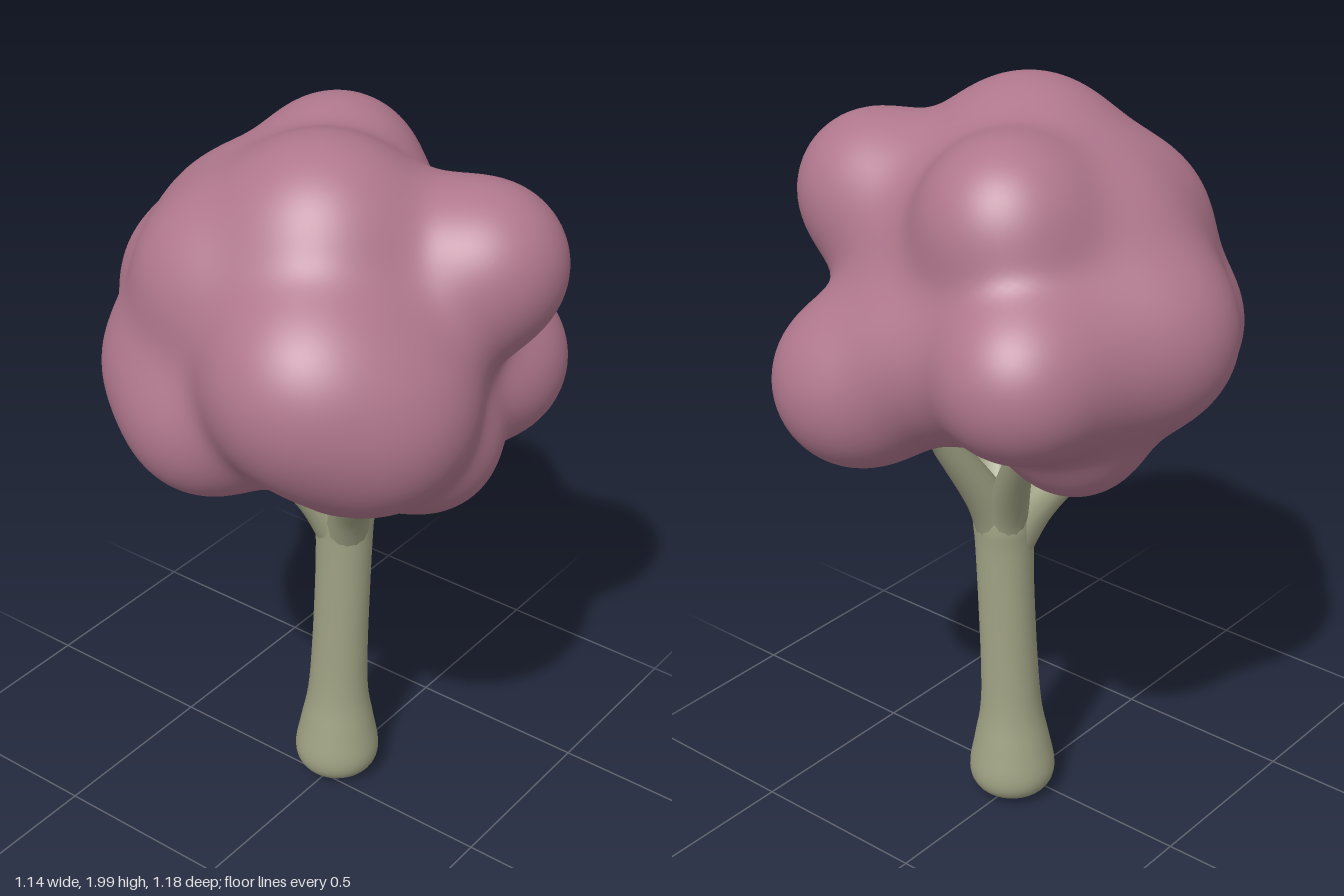
import * as THREE from 'three';
import { mergeVertices } from 'three/addons/utils/BufferGeometryUtils.js';

const leafMat = new THREE.MeshStandardMaterial({ color: 0xb0778d });
const barkMat = new THREE.MeshStandardMaterial({ color: 0xa0a284 });

// Leaf clumps: x, y, z, radius
const CLUMPS = [
  [0, 1.5, 0, 0.38], // core
  [-0.10, 1.74, 0.07, 0.25], // top
  [0.21, 1.74, -0.12, 0.21],
  [0.11, 1.69, 0.39, 0.195], // front
  [0.08, 1.62, 0.26, 0.21],
  [0.04, 1.21, 0.28, 0.187],
  [-0.21, 1.42, 0.30, 0.25],
  [-0.31, 1.50, 0.20, 0.254], // left
  [-0.30, 1.30, -0.12, 0.205],
  [-0.16, 1.24, 0.18, 0.15],
  [-0.21, 1.62, -0.13, 0.22],
  [0.35, 1.29, 0.24, 0.218], // right
  [0.30, 1.40, 0.08, 0.19],
  [0.28, 1.42, -0.06, 0.185],
  [0.36, 1.45, -0.28, 0.198],
  [0.00, 1.46, -0.36, 0.23], // back
  [0.18, 1.45, -0.30, 0.20],
  [-0.24, 1.38, -0.24, 0.205],
  [-0.02, 1.63, -0.20, 0.225],
  [0.10, 1.22, -0.24, 0.175],
].map(([x, y, z, r]) => ({ c: new THREE.Vector3(x, y, z), r }));

// Signed distance to the softly blended clumps
function leafDistance(p) {
  const k = 0.045;
  let sum = 0;
  for (const { c, r } of CLUMPS) sum += Math.exp(-(p.distanceTo(c) - r) / k);
  return -k * Math.log(sum);
}

// Canopy: a sphere whose vertices are drawn in to the blended surface
function makeCanopy() {
  let geo = new THREE.IcosahedronGeometry(1, 32);
  geo.deleteAttribute('uv');
  geo.deleteAttribute('normal');
  geo = mergeVertices(geo, 1e-4);
  const centre = new THREE.Vector3(0, 1.5, 0);
  const pos = geo.attributes.position;
  const dir = new THREE.Vector3(), p = new THREE.Vector3();
  for (let i = 0; i < pos.count; i++) {
    dir.fromBufferAttribute(pos, i).normalize();
    let t = 0.95;
    for (let n = 0; n < 60; n++) {
      const d = leafDistance(p.copy(centre).addScaledVector(dir, t));
      if (Math.abs(d) < 1e-4) break;
      t -= d * 0.9;
    }
    pos.setXYZ(i, p.x, p.y, p.z);
  }
  geo.computeVertexNormals();
  return new THREE.Mesh(geo, leafMat);
}

// Trunk: turned profile with a swollen foot, leaning slightly to +x
function makeTrunk() {
  const profile = new THREE.SplineCurve([
    [0.001, 0.006], [0.06, 0.014], [0.102, 0.04], [0.117, 0.09], [0.102, 0.18],
    [0.084, 0.28], [0.077, 0.42], [0.075, 0.65], [0.077, 0.8], [0.081, 0.87],
    [0.072, 0.925], [0.04, 0.95], [0.001, 0.955],
  ].map(([x, y]) => new THREE.Vector2(x, y)));
  const geo = new THREE.LatheGeometry(profile.getPoints(60), 32);
  const pos = geo.attributes.position;
  for (let i = 0; i < pos.count; i++) {
    const y = pos.getY(i);
    pos.setX(i, pos.getX(i) + 0.057 + 0.03 * THREE.MathUtils.smoothstep(y, 0.1, 0.9));
  }
  return new THREE.Mesh(geo, barkMat);
}

// Branch: a tapering tube with a rounded end, growing smoothly out of the trunk
function makeBranch(end) {
  const start = new THREE.Vector3(0.086, 0.78, 0);
  const tip = new THREE.Vector3(...end);
  const mid = start.clone().lerp(tip, 0.22).setY(0.92);
  const path = new THREE.CatmullRomCurve3([start, mid, tip]);
  const rings = 24, sides = 16;
  const geo = new THREE.TubeGeometry(path, rings, 1, sides);
  const pos = geo.attributes.position;
  const c = new THREE.Vector3(), p = new THREE.Vector3();
  for (let i = 0; i < pos.count; i++) {
    const t = Math.floor(i / (sides + 1)) / rings;
    path.getPointAt(t, c);
    const cap = Math.sqrt(Math.max(0, 1 - Math.max(0, (t - 0.9) / 0.1) ** 2));
    const r = THREE.MathUtils.lerp(0.066, 0.033, t) * cap + 0.0005;
    p.fromBufferAttribute(pos, i).sub(c).multiplyScalar(r).add(c);
    pos.setXYZ(i, p.x, p.y, p.z);
  }
  return new THREE.Mesh(geo, barkMat);
}

export function createModel() {
  const tree = new THREE.Group();
  tree.name = 'tree';
  const add = (mesh, name) => { mesh.name = name; tree.add(mesh); };
  add(makeTrunk(), 'trunk');
  const branches = {
    frontBranch: [-0.14, 1.17, 0.26],
    leftBranch: [0.28, 1.17, 0.05],
    backBranch: [0.2, 1.15, -0.15],
    rightBranch: [-0.17, 1.2, -0.28],
  };
  for (const [name, end] of Object.entries(branches)) add(makeBranch(end), name);
  add(makeCanopy(), 'canopy');
  return tree;
}
